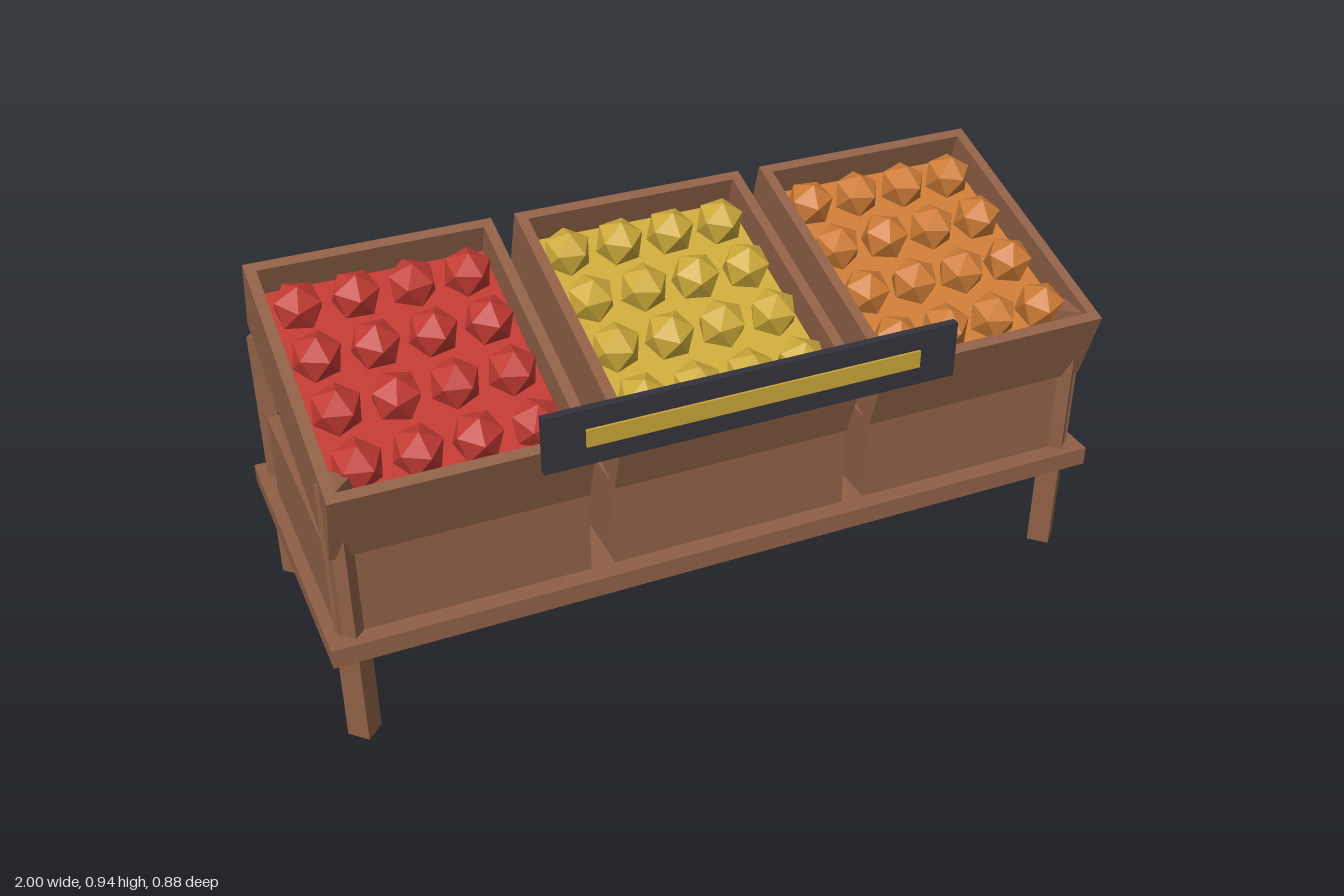
import * as THREE from 'three';

const mat = (name, color) => {
  const m = new THREE.MeshStandardMaterial({ color });
  m.name = name;
  return m;
};

export function createModel() {
  const stand = new THREE.Group();
  stand.name = 'produceStand';

  const wood = mat('wood', 0x8f6046);
  const dark = mat('charcoal', 0x33333b);
  const gold = mat('gold', 0xc8a336);
  const red = mat('red', 0xc13a32);
  const yellow = mat('yellow', 0xcdaa3a);
  const orange = mat('orange', 0xcd7c36);
  const green = mat('green', 0x469f38);
  const purple = mat('purple', 0x6a2f5e);
  const pale = mat('pale yellow', 0xc6b359);

  const box = (parent, name, material, size, pos) => {
    const mesh = new THREE.Mesh(new THREE.BoxGeometry(...size), material);
    mesh.name = name;
    mesh.position.set(...pos);
    parent.add(mesh);
  };

  // Faceted fruit with one vertex pointing straight up
  const fruitGeo = new THREE.IcosahedronGeometry(0.063, 0);
  fruitGeo.rotateZ(Math.atan(2 / (1 + Math.sqrt(5))));

  let seed = 7;
  const rand = () => (seed = (seed * 16807) % 2147483647) / 2147483647;

  // Open crate centred on its origin, with a bed of produce and rows of fruit
  const crate = (name, material, { w, h, d, bed, fruitY, rows, rowStep }) => {
    const g = new THREE.Group();
    g.name = name;
    const t = 0.027;
    const inW = w - 2 * t, inD = d - 2 * t;
    box(g, 'crateFloor', wood, [w, t, d], [0, -h / 2 + t / 2, 0]);
    for (const s of [-1, 1]) {
      box(g, 'crateSide', wood, [t, h - t, d], [s * (w - t) / 2, t / 2, 0]);
      box(g, 'crateEnd', wood, [inW, h - t, t], [0, t / 2, s * (d - t) / 2]);
    }
    const bottom = -h / 2 + t;
    box(g, 'produceBed', material, [inW, bed - bottom, inD], [0, (bed + bottom) / 2, 0]);
    for (let r = 0; r < rows; r++) {
      for (let c = 0; c < 4; c++) {
        const fruit = new THREE.Mesh(fruitGeo, material);
        fruit.name = 'fruit';
        fruit.position.set((c - 1.5) * 0.137, fruitY, (r - (rows - 1) / 2) * rowStep);
        fruit.rotation.y = rand() * Math.PI * 2;
        g.add(fruit);
      }
    }
    stand.add(g);
    return g;
  };

  // Shelf board
  box(stand, 'shelf', wood, [2, 0.049, 0.796], [0, 0.281, -0.042]);

  // Diamond-section posts
  const postGeo = new THREE.CylinderGeometry(0.04, 0.04, 0.713, 4).toNonIndexed();
  postGeo.computeVertexNormals();
  for (const x of [-0.938, 0.938]) {
    for (const z of [0.295, -0.38]) {
      const post = new THREE.Mesh(postGeo, wood);
      post.name = z > 0 ? 'frontPost' : 'backPost';
      post.position.set(x, 0.3565, z);
      stand.add(post);
    }
  }

  // Level crates on the shelf and tilted display crates above them
  const lower = [green, purple, pale];
  const upper = [red, yellow, orange];
  [-0.667, 0, 0.667].forEach((x, i) => {
    crate('lowerCrate', lower[i], {
      w: 0.607, h: 0.225, d: 0.605, bed: 0.133, fruitY: 0.147, rows: 3, rowStep: 0.176,
    }).position.set(x, 0.4175, 0.0075);

    const top = crate('tiltedCrate', upper[i], {
      w: 0.607, h: 0.2, d: 0.731, bed: 0.02, fruitY: 0.056, rows: 4, rowStep: 0.164,
    });
    top.position.set(x, 0.731, 0);
    top.rotation.x = 0.315;
  });

  // Sign board with a plain gold strip
  box(stand, 'signBoard', dark, [1.02, 0.142, 0.02], [0, 0.767, 0.427]);
  box(stand, 'signStrip', gold, [0.825, 0.044, 0.006], [0, 0.767, 0.44]);

  return stand;
}
